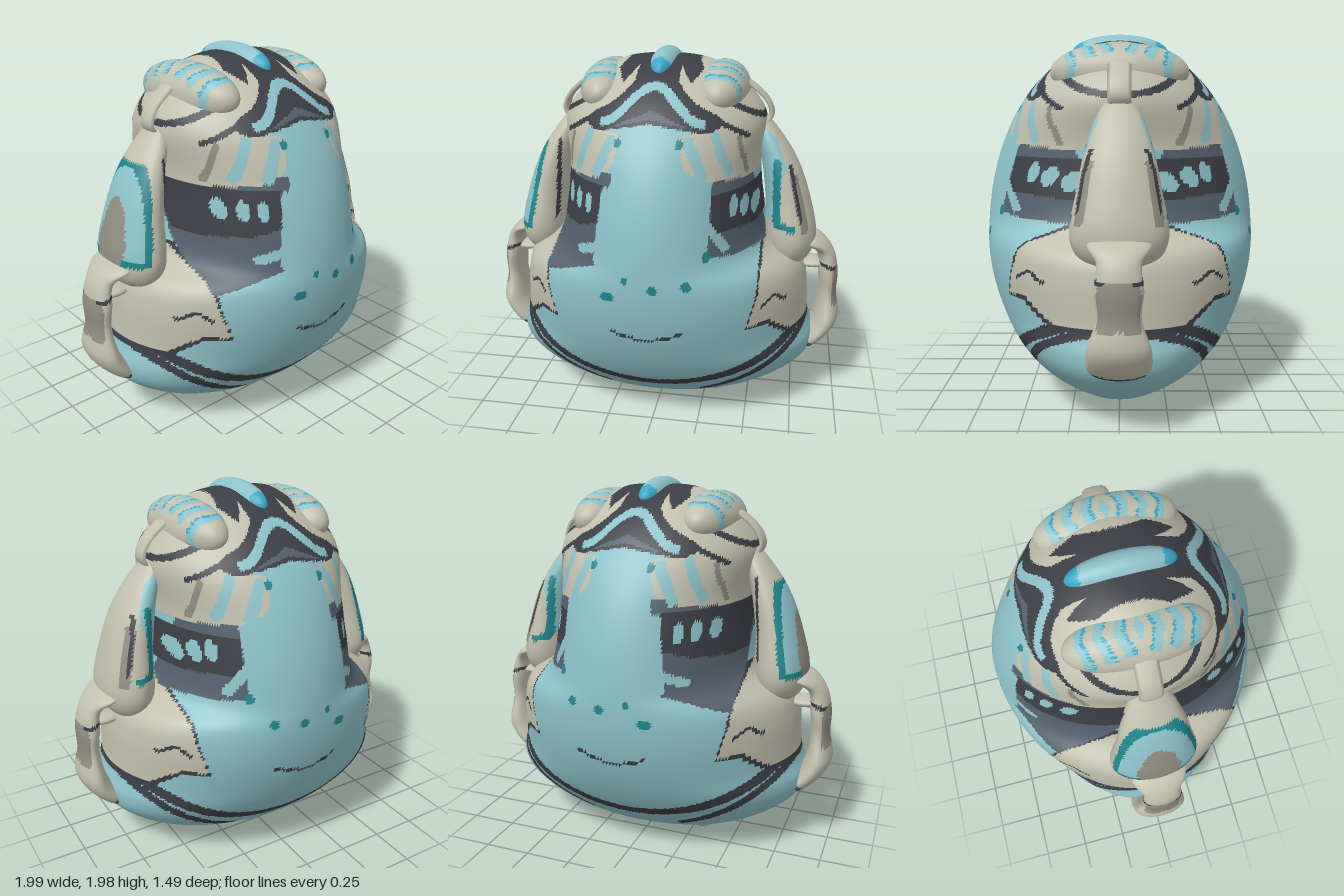
import * as THREE from 'three';

const PALETTE = {
  paleBlue: 0x8cc1c9, stone: 0xc0beac, charcoal: 0x3b3e45, slate: 0x55616d,
  teal: 0x1f858c, cyan: 0x38a8c8, greyStone: 0x908d82,
};
const NAMES = Object.keys(PALETTE);
const MATERIALS = NAMES.map((name) => {
  const m = new THREE.MeshStandardMaterial({ color: PALETTE[name] });
  m.name = name;
  return m;
});

// Paint shapes on the front plane: polygon, band along y = f(x), straight bar, oval
const area = (color, ...p) => ({
  color,
  test: (x, y) => p.reduce((hit, [ax, ay], i) => {
    const [bx, by] = p[(i + 1) % p.length];
    return ay > y !== by > y && x < ((bx - ax) * (y - ay)) / (by - ay) + ax ? !hit : hit;
  }, false),
});
const band = (color, w, x0, x1, f) => ({
  color,
  test: (x, y) => {
    const slope = (f(x + 0.01) - f(x - 0.01)) / 0.02;
    return x >= x0 && x <= x1 && Math.abs(y - f(x)) < (w / 2) * Math.hypot(1, slope);
  },
});
const bar = (color, w, [ax, ay], [bx, by]) => ({
  color,
  test: (x, y) => {
    const dx = bx - ax, dy = by - ay;
    const t = THREE.MathUtils.clamp(((x - ax) * dx + (y - ay) * dy) / (dx * dx + dy * dy), 0, 1);
    return Math.hypot(x - ax - t * dx, y - ay - t * dy) < w / 2;
  },
});
const dot = (color, x0, y0, rx, ry = rx) => ({ color, test: (x, y) => Math.hypot((x - x0) / rx, (y - y0) / ry) < 1 });
const both = (s) => ({ color: s.color, test: (x, y) => s.test(Math.abs(x), y) });
const painter = (base, layers) => (x, y) => layers.reduce((c, l) => (l.test(x, y) ? l.color : c), base);

// Loft of ellipses: section(t) gives [y, centreX, radiusX, radiusZ]; each face is painted
function loft(name, section, side, rings, segs, paint) {
  const pos = [], buckets = NAMES.map(() => []);
  for (let j = 0; j <= rings; j++) {
    const [y, cx, rx, rz] = section(j / rings);
    for (let i = 0; i < segs; i++) {
      const a = (i / segs) * Math.PI * 2;
      pos.push(side * cx + Math.max(0, rx) * Math.cos(a), y, Math.max(0, rz) * Math.sin(a));
    }
  }
  const face = (...v) => {
    const mid = [0, 1, 2].map((k) => (pos[v[0] * 3 + k] + pos[v[1] * 3 + k] + pos[v[2] * 3 + k]) / 3);
    buckets[NAMES.indexOf(paint(...mid))].push(...v);
  };
  for (let j = 0; j < rings; j++) {
    for (let i = 0; i < segs; i++) {
      const a = j * segs + i, b = j * segs + ((i + 1) % segs);
      face(a, a + segs, b);
      face(b, a + segs, b + segs);
    }
  }
  const geo = new THREE.BufferGeometry();
  geo.setAttribute('position', new THREE.Float32BufferAttribute(pos, 3));
  geo.setIndex(buckets.flat());
  let start = 0;
  buckets.forEach((b, i) => {
    if (b.length) geo.addGroup(start, b.length, i);
    start += b.length;
  });
  geo.computeVertexNormals();
  const mesh = new THREE.Mesh(geo, MATERIALS);
  mesh.name = name;
  return mesh;
}
const ellipsoid = (cx, cy, rx, ry, rz) => (t) => {
  const a = (t - 0.5) * Math.PI;
  return [cy + ry * Math.sin(a), cx, rx * Math.cos(a), rz * Math.cos(a)];
};
// Limb through points [centreX, y, radiusX], deeper than wide
const limb = (depth, points) => {
  const curve = new THREE.CatmullRomCurve3(points.map((p) => new THREE.Vector3(...p)));
  return (t) => {
    const p = curve.getPoint(t);
    return [p.y, p.x, p.z, p.z * depth];
  };
};

// Body: half widths by height, with an egg-shaped depth
const bodyCurve = new THREE.SplineCurve([
  [0, 0.05], [0.43, 0.05], [0.58, 0.1], [0.74, 0.2], [0.84, 0.3], [0.86, 0.4], [0.82, 0.52], [0.8, 0.75], [0.75, 0.88],
  [0.59, 0.99], [0.54, 1.18], [0.52, 1.4], [0.545, 1.6], [0.49, 1.72], [0.365, 1.84], [0.21, 1.92], [0, 1.94],
].map((p) => new THREE.Vector2(...p)));
const bodySection = (t) => {
  const { x, y } = bodyCurve.getPoint(t);
  const k = (y - 0.88) / (y > 0.88 ? 1.06 : 0.886);
  return [y, 0, x, Math.min(0.745 * Math.sqrt(Math.max(0, 1 - k * k)), y < 0.07 ? x * 0.6 : 1)];
};

const bowlPaint = [
  band('charcoal', 0.055, -0.78, 0.78, (x) => 0.255 + 0.5 * x * x),
  both(band('charcoal', 0.04, 0.25, 0.84, (x) => 0.08 + 0.2 * x + 0.43 * x * x)),
];
const shoulder = [[0.55, 1.05], [0.87, 1.02], [0.85, 0.52], [0.71, 0.52], [0.6, 0.63], [0.49, 0.62], [0.54, 0.8]];
const shoulderPaint = [
  both(area('charcoal', ...shoulder)),
  both(area('stone', ...shoulder.map(([x, y]) => [x + 0.012, y + 0.02]))),
  both(band('charcoal', 0.015, 0.57, 0.7, (x) => 0.76 + 0.02 * Math.cos(50 * x))),
];
const rightWallPaint = [
  area('slate', [-0.56, 0.87], [-0.52, 1.43], [-0.17, 1.43], [-0.24, 0.98]),
  area('charcoal', [-0.54, 1.12], [-0.52, 1.38], [-0.22, 1.37], [-0.24, 1.19], [-0.37, 1.14]),
  bar('paleBlue', 0.045, [-0.2, 1.34], [-0.24, 1]),
  bar('paleBlue', 0.045, [-0.34, 1.03], [-0.2, 1.09]),
  ...[0, 1, 2].map((i) => dot('paleBlue', -0.435 + 0.068 * i, 1.27, 0.021, 0.05)),
];
const leftWallPaint = [
  area('slate', [0.3, 1.03], [0.31, 1.42], [0.48, 1.41], [0.57, 1]),
  area('charcoal', [0.31, 1.15], [0.31, 1.33], [0.54, 1.33], [0.55, 1.12]),
  bar('paleBlue', 0.04, [0.3, 1.18], [0.38, 1.06]),
  ...[0, 1, 2].map((i) => dot('paleBlue', 0.41 + 0.048 * i, 1.25 - 0.018 * i, 0.02, 0.05)),
];
const eavesPaint = [
  both(area('stone', [0.14, 1.6], [0.18, 1.45], [0.3, 1.39], [0.6, 1.36], [0.6, 1.65], [0.3, 1.65])),
  both(bar('paleBlue', 0.05, [0.19, 1.58], [0.26, 1.42])),
  both(bar('paleBlue', 0.04, [0.31, 1.6], [0.38, 1.42])),
  both(bar('greyStone', 0.02, [0.42, 1.58], [0.46, 1.4])),
  both(dot('teal', 0.15, 1.57, 0.016, 0.024)),
];
const crownPaint = [
  { color: 'stone', test: (x, y) => y > 1.68 - 0.15 * Math.abs(x) },
  both(area('charcoal', [-0.01, 1.66], [0.28, 1.61], [0.36, 1.65], [0.15, 1.8], [0.22, 1.88], [0.17, 1.95], [-0.01, 1.95])),
  both(area('slate', [-0.01, 1.68], [0.21, 1.63], [-0.01, 1.72])),
  band('paleBlue', 0.04, -0.26, 0.26, (x) => 1.735 + 0.08 * Math.cos((Math.PI * x) / 0.25)),
  both(band('stone', 0.04, 0.11, 0.36, (x) => 1.71 + 2.5 * (x - 0.36) ** 2)),
  both(bar('charcoal', 0.022, [0.2, 1.735], [0.46, 1.58])),
  both(bar('charcoal', 0.022, [0.36, 1.74], [0.54, 1.64])),
];
const facePaint = [
  band('charcoal', 0.016, -0.17, 0.2, (x) => 0.6 + 1.3 * x * x),
  dot('teal', -0.18, 0.835, 0.035, 0.025), dot('teal', 0.05, 0.89, 0.025), dot('teal', 0.21, 0.91, 0.025),
  dot('teal', -0.09, 0.93, 0.018), dot('teal', 0.3, 1.04, 0.018, 0.03),
];
const bodyPaint = painter('paleBlue', [
  bowlPaint, shoulderPaint, rightWallPaint, leftWallPaint, eavesPaint, crownPaint, facePaint].flat());

const column = limb(1.7, [
  [0.68, 0.78, 0], [0.69, 0.84, 0.1], [0.7, 0.95, 0.14], [0.67, 1.2, 0.12], [0.615, 1.4, 0.095], [0.54, 1.56, 0.06], [0.47, 1.7, 0],
]);
const columnPaint = painter('stone', [
  area('teal', [-0.9, 0.96], [-0.73, 0.98], [-0.65, 1.46], [-0.9, 1.46]),
  area('paleBlue', [-0.9, 1], [-0.76, 1], [-0.68, 1.48], [-0.9, 1.48]),
  bar('greyStone', 0.05, [-0.86, 0.95], [-0.76, 1.4]),
  bar('charcoal', 0.018, [-0.57, 1.48], [-0.6, 1.05]),
  area('paleBlue', [0.48, 1.62], [0.6, 1.52], [0.66, 1.38], [0.6, 1.1], [0.53, 1.05]),
  bar('teal', 0.04, [0.61, 1.4], [0.62, 1.08]),
  bar('teal', 0.04, [0.62, 1.08], [0.7, 1.06]),
  bar('greyStone', 0.04, [0.77, 1.05], [0.7, 1.32]),
  bar('charcoal', 0.018, [0.68, 1.38], [0.75, 1.1]),
]);

const handle = limb(2.1, [
  [0.8, 0.28, 0], [0.82, 0.32, 0.06], [0.92, 0.47, 0.073], [0.925, 0.63, 0.05], [0.92, 0.76, 0.055], [0.895, 0.88, 0.05], [0.8, 0.96, 0.07], [0.76, 1, 0],
]);
const handlePaint = painter('stone', [
  both(bar('charcoal', 0.04, [0.78, 0.38], [0.88, 0.3])),
  both(bar('greyStone', 0.05, [0.97, 0.6], [0.97, 0.78])),
  both(bar('charcoal', 0.02, [0.86, 0.82], [0.95, 0.8])),
]);

// Striped lobes and crest
const lobePaint = (x, y, z) => {
  const off = Math.abs(Math.abs(x) - 0.31), d = Math.abs(z) + 0.35 * off, step = (d + 0.03) % 0.095;
  if (off > 0.11 || d > 0.3 || step > 0.055) return 'stone';
  return step < 0.012 ? 'cyan' : 'paleBlue';
};
const crestPaint = (x, y, z) => (Math.abs(z) > 0.2 || Math.abs(x) > 0.07 ? 'cyan' : 'paleBlue');

export function createModel() {
  const model = new THREE.Group();
  model.name = 'paintedVessel';
  model.add(loft('body', bodySection, 1, 168, 280, bodyPaint));
  model.add(loft('crest', ellipsoid(0, 1.87, 0.085, 0.105, 0.27), 1, 32, 40, crestPaint));

  for (const [s, side] of [[1, 'left'], [-1, 'right']]) {
    model.add(loft(side + 'Column', column, s, 64, 56, columnPaint));
    model.add(loft(side + 'Handle', handle, s, 48, 32, handlePaint));
    model.add(loft(side + 'Lobe', ellipsoid(0.3, 1.76, 0.15, 0.15, 0.36), s, 40, 56, lobePaint));
    // Bridge between the two handle openings, and the foot
    model.add(loft(side + 'HandleBridge', ellipsoid(0.83, 0.805, 0.1, 0.03, 0.08), s, 16, 20, () => 'stone'));
    model.add(loft(side + 'Foot', ellipsoid(0.31, 0.07, 0.09, 0.07, 0.23), s, 16, 28, () => 'paleBlue'));
    // Thin strand standing off the crown
    const path = new THREE.CatmullRomCurve3([[0.38, 1.83], [0.47, 1.775], [0.545, 1.7], [0.565, 1.63], [0.53, 1.58]]
      .map(([x, y]) => new THREE.Vector3(s * x, y, 0)));
    const strand = new THREE.Mesh(new THREE.TubeGeometry(path, 20, 0.015, 8), MATERIALS[NAMES.indexOf('stone')]);
    strand.scale.z = 4;
    strand.name = side + 'Strand';
    model.add(strand);
  }
  return model;
}
